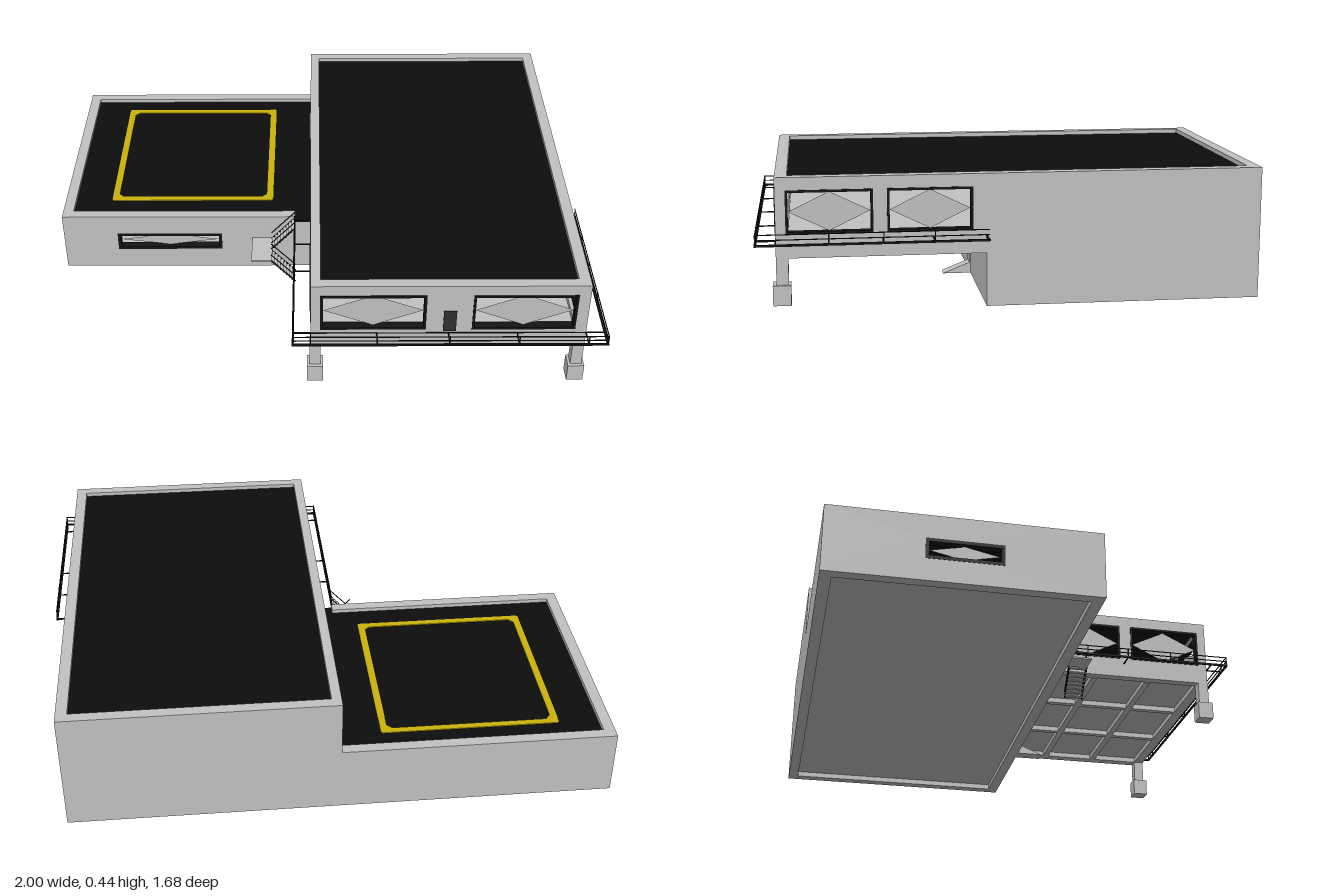
import * as THREE from 'three';

const mat = (name, color, double) => {
  const m = new THREE.MeshStandardMaterial({ color });
  m.name = name;
  if (double) m.side = THREE.DoubleSide;
  return m;
};

export function createModel() {
  const root = new THREE.Group();
  root.name = 'house';
  const concrete = mat('concrete', 0xc2c2c2);
  const pane = mat('pane', 0xc0c0c0, true);
  const roofing = mat('roofing', 0x0d0d0d);
  const metal = mat('blackMetal', 0x141414);
  const doorDark = mat('darkDoor', 0x303030);
  const paint = mat('yellowPaint', 0xccb30c);

  const add = (name, geo, m) => {
    const mesh = new THREE.Mesh(geo, m);
    mesh.name = name;
    root.add(mesh);
    return mesh;
  };
  // Box given by its lower and upper corners
  const box = (name, m, x0, x1, y0, y1, z0, z1) =>
    add(name, new THREE.BoxGeometry(x1 - x0, y1 - y0, z1 - z0), m)
      .position.set((x0 + x1) / 2, (y0 + y1) / 2, (z0 + z1) / 2);
  // Thin bar between two points
  const bar = (name, a, b, t = 0.005) => {
    const p = new THREE.Vector3(...a), q = new THREE.Vector3(...b);
    const mesh = add(name, new THREE.BoxGeometry(t, t, p.distanceTo(q) + t), metal);
    mesh.position.copy(p).lerp(q, 0.5);
    mesh.lookAt(q);
  };
  const points = (list) => list.map(([u, v]) => new THREE.Vector2(u, v));
  const rect = (u0, u1, v0, v1) => points([[u0, v0], [u1, v0], [u1, v1], [u0, v1]]);
  const solid = (outline, holes, depth) => {
    const shape = new THREE.Shape(outline);
    for (const h of holes) shape.holes.push(new THREE.Path(h));
    return new THREE.ExtrudeGeometry(shape, { depth, bevelEnabled: false });
  };
  // Panel in the x-y plane whose back is at z = at, or in the z-y plane whose +x face is at x = at
  const panel = (name, m, axis, at, outline, holes, depth) => {
    const mesh = add(name, solid(outline, holes, depth), m);
    if (axis === 'x') { mesh.rotation.y = -Math.PI / 2; mesh.position.x = at; }
    else mesh.position.z = at;
  };
  // Black frame with a diamond shaped pane
  const windowUnit = (axis, at, [u0, u1, v0, v1], f) => {
    panel('windowFrame', metal, axis, axis === 'x' ? at + 0.015 : at - 0.015, rect(u0, u1, v0, v1),
      [rect(u0 + f, u1 - f, v0 + f, v1 - f)], 0.03);
    const um = (u0 + u1) / 2, vm = (v0 + v1) / 2;
    const geo = new THREE.ShapeGeometry(new THREE.Shape(points(
      [[u0 + f, vm], [um, v0 + f], [u1 - f, vm], [um, v1 - f]])));
    const mesh = add('windowPane', geo, pane);
    if (axis === 'x') { mesh.rotation.y = -Math.PI / 2; mesh.position.x = at; }
    else mesh.position.z = at;
  };

  const W = 0.04, back = -0.84, mid = 0.085, front = 0.77;
  const xl = -1, xm = -0.03, xr = 0.93, low = 0.24, high = 0.445;

  // Window openings: [u0, u1, y0, y1]
  const frontWins = [[0.003, 0.37, 0.255, 0.405], [0.53, 0.89, 0.255, 0.405]];
  const sideWins = [[0.13, 0.41, 0.258, 0.403], [0.455, 0.737, 0.258, 0.403]];
  const lowFront = [-0.79, -0.38, 0.085, 0.16];
  const lowEnd = [-0.51, -0.25, 0.08, 0.155];
  const roofSide = [-0.35, -0.09, 0.27, 0.345];
  const holes = (list) => list.map((w) => rect(...w));

  // Low wing and ground floor walls
  panel('lowerFrontWall', concrete, 'z', mid - W, rect(xl, xr, 0, 0.215), holes([lowFront]), W);
  box('frontParapet', concrete, xl, -0.09, 0.215, low, mid - W, mid);
  panel('lowEndWall', concrete, 'x', xl + W, rect(back, mid, 0, low), holes([lowEnd]), W);
  box('lowBackWall', concrete, xl, xm, 0, low, back, back + W);
  box('groundFloor', concrete, xl + 0.01, xr - 0.01, 0.02, 0.035, back + 0.01, mid - 0.01);

  // Tall block walls, the front part overhanging
  const sideOutline = (y) => points([[back, y], [mid, y], [mid, 0.18], [front, 0.18], [front, high], [back, high]]);
  panel('tallLeftWall', concrete, 'x', xr, sideOutline(0), holes(sideWins), W);
  panel('tallRightWall', concrete, 'x', xm + W - 0.005, sideOutline(0.03), holes([...sideWins, roofSide]), W - 0.005);
  panel('tallFrontWall', concrete, 'z', front - W, rect(xm, xr, 0.18, high), holes(frontWins), W);
  box('tallBackWall', concrete, xm, xr, 0, high, back, back + W);
  box('upperFloor', concrete, xm + 0.01, xr - 0.01, 0.2, 0.238, back + 0.02, front - 0.01);

  // Ribs below the overhang
  for (const x of [0.29, 0.6]) box('floorRib', concrete, x - 0.012, x + 0.012, 0.18, 0.2, mid, front - W);
  for (const z of [0.31, 0.53]) box('floorRib', concrete, xm + W, xr - W, 0.18, 0.2, z - 0.012, z + 0.012);

  // Roof surfaces sunk behind the parapets
  box('lowRoof', roofing, xl + W, xm, 0.205, 0.225, back + W, mid - W);
  box('terraceThreshold', roofing, -0.09, xm, 0.215, 0.225, mid - W, mid);
  box('tallRoof', roofing, xm + W - 0.005, xr - W, 0.41, 0.43, back + W, front - W);

  // Painted landing square
  const c = 0.018;
  const clipped = (u0, u1, v0, v1, k) => points([[u0 + k, v0], [u1 - k, v0], [u1, v0 + k], [u1, v1 - k],
    [u1 - k, v1], [u0 + k, v1], [u0, v1 - k], [u0, v0 + k]]);
  const square = add('paintedSquare', solid(clipped(-0.82, -0.18, 0.045, 0.73, 0.006),
    [clipped(-0.795, -0.205, 0.07, 0.705, c)], 0.003), paint);
  square.rotation.x = -Math.PI / 2;
  square.position.y = 0.225;

  // Windows
  for (const w of frontWins) windowUnit('z', front - 0.012, w, 0.009);
  for (const w of sideWins) {
    windowUnit('x', xr - 0.012, w, 0.008);
    windowUnit('x', xm + 0.012, w, 0.008);
  }
  windowUnit('z', mid - 0.014, lowFront, 0.012);
  windowUnit('x', xl + 0.014, lowEnd, 0.012);
  windowUnit('x', xm + 0.014, roofSide, 0.01);

  // Doors, and the ramp to the ground floor door
  box('balconyDoor', doorDark, 0.43, 0.475, 0.25, 0.337, front, front + 0.004);
  box('roofDoor', concrete, xm - 0.005, xm, 0.225, 0.315, -0.56, -0.5);
  panel('groundDoor', concrete, 'z', mid, clipped(0.425, 0.475, 0.02, 0.142, 0.01), [], 0.004);
  panel('ramp', concrete, 'x', 0.475, points([[mid, 0], [0.185, 0], [mid, 0.04]]), [], 0.05);

  // Columns with wide feet
  for (const x of [-0.015, 0.91]) {
    box('column', concrete, x - 0.02, x + 0.02, 0.08, 0.18, front - W, front);
    box('columnFoot', concrete, x - 0.029, x + 0.029, 0.025, 0.092, front - W - 0.007, front + 0.012);
  }

  // Open balcony frame with railings around three sides
  const bx0 = -0.092, bx1 = 0.996, bz = 0.833, by = 0.238;
  for (const [y, t] of [[by, 0.007], [0.256, 0.003], [0.273, 0.003]]) {
    bar('balconyRail', [bx0, y, bz], [bx1, y, bz], t);
    for (const x of [bx0, bx1]) bar('balconyRail', [x, y, mid], [x, y, bz], t);
  }
  bar('balconyEnd', [xr, by, mid], [bx1, by, mid]);
  bar('balconyInnerRail', [bx0, by, front], [bx1, by, front], 0.004);
  for (const x of [bx0, xm, 0.2, 0.45, 0.69, xr, bx1]) {
    bar('balconyBracket', [x, by, front], [x, by, bz], 0.004);
    bar('balconyPost', [x, by, bz], [x, 0.273, bz], 0.004);
  }
  for (const [wall, edge] of [[xm, bx0], [xr, bx1]]) {
    for (const z of [0.26, 0.425, 0.6]) {
      if (z < 0.5) bar('balconyBracket', [wall, by, z], [edge, by, z], 0.004);
      bar('balconyPost', [edge, by, z], [edge, 0.273, z], 0.004);
    }
  }

  // Switchback stair: two flights joined by a landing
  box('stairLanding', concrete, -0.26, -0.18, 0.132, 0.138, mid, 0.23);
  const steps = 8;
  for (const [z0, z1, yTop, yEnd] of [[mid + 0.003, 0.155, 0.138, 0.235], [0.162, 0.23, 0.135, 0.038]]) {
    for (let i = 0; i < steps; i++) {
      const x = -0.182 + (i * 0.088) / steps;
      const y = yTop + ((yEnd - yTop) * (i + 0.5)) / steps;
      box('stairTread', concrete, x, x + 0.013, y - 0.003, y + 0.001, z0, z1);
    }
    for (const z of [z0, z1]) {
      bar('stairStringer', [-0.182, yTop, z], [bx0, yEnd, z], 0.004);
      bar('stairHandrail', [-0.182, yTop + 0.028, z], [bx0, yEnd + 0.028, z], 0.003);
    }
  }
  return root;
}
